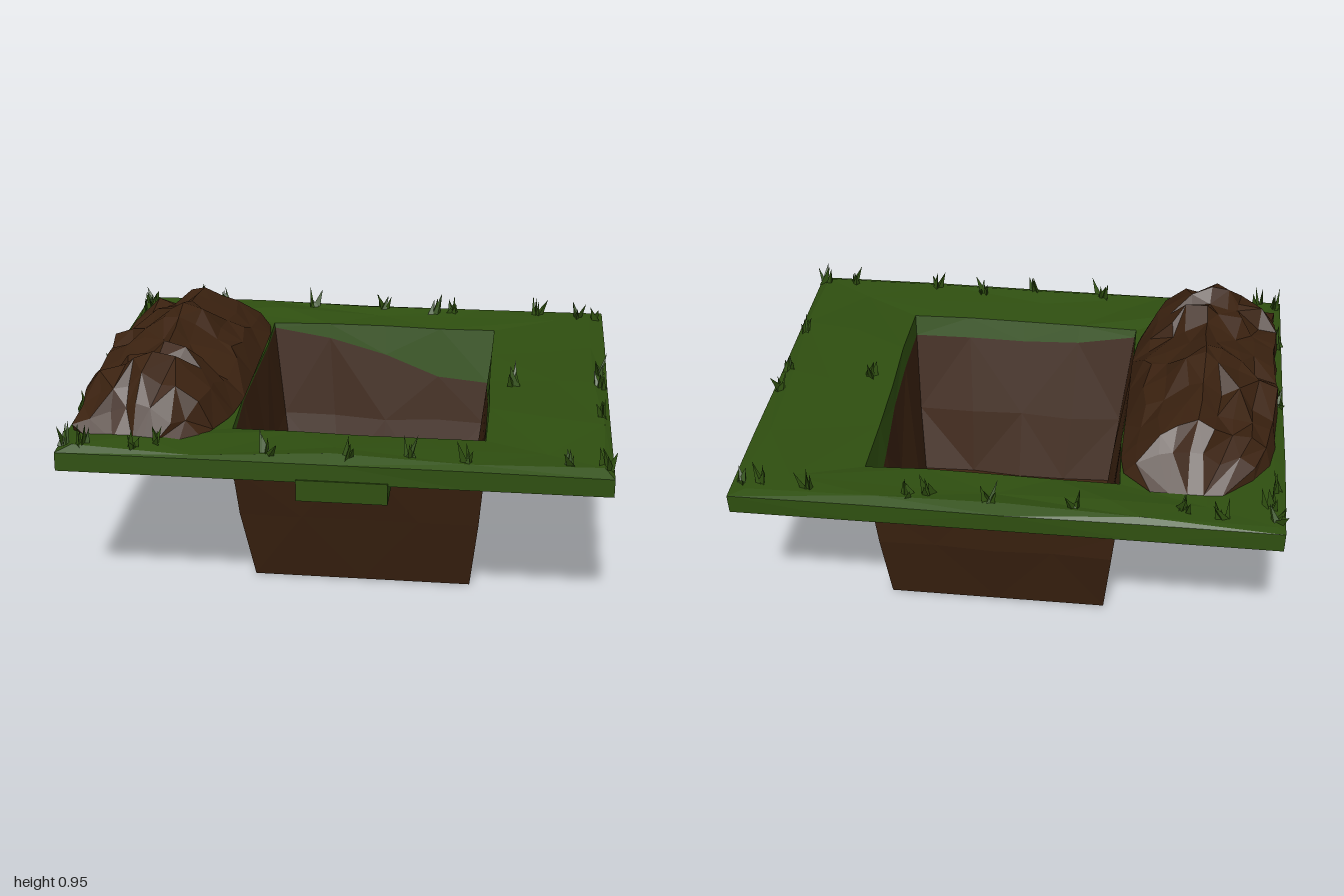
import * as THREE from 'three';

const N = 4; // points per side of each rectangular loop

function makeRandom(seed) {
  return () => {
    seed = (seed * 16807) % 2147483647;
    return seed / 2147483647;
  };
}

// Rectangle of 4 * N points, from front left, counter-clockwise seen from above
function rectLoop(x0, x1, z0, z1, y, jitter = () => 0, wobble = 0) {
  const c = [[x0, z1], [x1, z1], [x1, z0], [x0, z0]];
  const loop = [];
  for (let s = 0; s < 4; s++) {
    const a = c[s], b = c[(s + 1) % 4];
    for (let i = 0; i < N; i++) {
      const t = i / N;
      loop.push(new THREE.Vector3(
        a[0] + (b[0] - a[0]) * t + jitter() * wobble,
        y + jitter() * wobble * 0.5,
        a[1] + (b[1] - a[1]) * t + jitter() * wobble));
    }
  }
  return loop;
}

// Faceted skin over successive rows of points
function loft(rows, closed = true) {
  const p = [];
  const tri = (...v) => v.forEach((q) => p.push(q.x, q.y, q.z));
  for (let r = 0; r + 1 < rows.length; r++) {
    const a = rows[r], b = rows[r + 1], n = a.length;
    for (let i = 0; i < (closed ? n : n - 1); i++) {
      const j = (i + 1) % n;
      if ((i + r) % 2) {
        tri(a[i], a[j], b[j]);
        tri(a[i], b[j], b[i]);
      } else {
        tri(a[i], a[j], b[i]);
        tri(a[j], b[j], b[i]);
      }
    }
  }
  const g = new THREE.BufferGeometry();
  g.setAttribute('position', new THREE.Float32BufferAttribute(p, 3));
  g.computeVertexNormals();
  return g;
}

// Points part of the way down a wall, given the drop of each one
function dropLoop(top, bottom, drops) {
  return top.map((p, i) => p.clone().lerp(bottom[i], drops[i] / (p.y - bottom[i].y)));
}

const centre = (x, y, z) => Array.from({ length: 4 * N }, () => new THREE.Vector3(x, y, z));

export function createModel() {
  const root = new THREE.Group();
  const rand = makeRandom(4127);
  const jit = () => rand() * 2 - 1;
  const grass = new THREE.MeshStandardMaterial({ color: 0x2f4f10 });
  const dirt = new THREE.MeshStandardMaterial({ color: 0x3b2210 });
  grass.name = 'grass green';
  dirt.name = 'soil brown';
  grass.side = dirt.side = THREE.DoubleSide;
  const add = (name, geometry, material, parent = root) => {
    const m = new THREE.Mesh(geometry, material);
    m.name = name;
    parent.add(m);
    return m;
  };

  // Loops of the pit, outside and inside
  const outBottom = rectLoop(-0.34, 0.48, -0.43, 0.35, 0.004);
  const outMiddle = rectLoop(-0.375, 0.51, -0.505, 0.43, 0.3, jit, 0.008);
  const outTop = rectLoop(-0.4, 0.53, -0.55, 0.515, 0.62);
  const inTop = rectLoop(-0.385, 0.525, -0.55, 0.5, 0.69, jit, 0.012);
  const inMiddle = rectLoop(-0.34, 0.495, -0.48, 0.4, 0.3, jit, 0.015);
  const inBottom = rectLoop(-0.3, 0.465, -0.415, 0.325, 0.04, jit, 0.01);

  // Ragged line where turf gives way to soil
  const outEdge = dropLoop(outTop, outMiddle,
    [0.1, 0.06, 0.01, 0.06, 0.04, 0.02, 0.02, 0.06, 0.13, 0.05, 0.02, 0.06, 0.2, 0.02, 0.01, 0.06]);
  const inEdge = dropLoop(inTop, inMiddle,
    [0.03, 0.07, 0.08, 0.08, 0.08, 0.08, 0.09, 0.14, 0.22, 0.2, 0.12, 0.06, 0.02, 0.01, 0.01, 0.01]);

  // Soil: underside, outer walls, inner walls and floor
  add('pitOuterSoil', loft([centre(0.06, 0, -0.04), outBottom, outMiddle, outEdge]), dirt);
  add('pitInnerSoil', loft([inEdge, inMiddle, inBottom, centre(0, 0.025, 0.1)]), dirt);

  // Turf slab with a rolling top, running a little way down the pit walls
  add('turfSlab', loft([
    outEdge, outTop,
    rectLoop(-0.97, 0.97, -0.785, 0.77, 0.62),
    rectLoop(-0.972, 0.972, -0.785, 0.768, 0.69, jit, 0.004),
    rectLoop(-0.93, 0.93, -0.75, 0.735, 0.705, jit, 0.018),
    rectLoop(-0.7, 0.75, -0.66, 0.64, 0.70, jit, 0.025),
    inTop, inEdge,
  ]), grass);
  const flap = add('hangingTurf', new THREE.BoxGeometry(0.32, 0.08, 0.27), grass);
  flap.position.set(0.04, 0.59, 0.64);

  // Soil heap: stations of z, left edge, right edge, ridge height
  const stations = [
    [0.66, -0.88, -0.55, 0.0], [0.6, -0.94, -0.48, 0.12], [0.53, -0.95, -0.45, 0.21],
    [0.43, -0.95, -0.41, 0.25], [0.38, -0.95, -0.4, 0.2], [0.3, -0.94, -0.39, 0.24],
    [0.24, -0.95, -0.385, 0.2], [0.12, -0.94, -0.385, 0.22], [0.03, -0.95, -0.385, 0.23],
    [-0.06, -0.95, -0.385, 0.255], [-0.2, -0.94, -0.385, 0.21], [-0.3, -0.94, -0.385, 0.2],
    [-0.41, -0.92, -0.385, 0.19], [-0.5, -0.86, -0.4, 0.11], [-0.6, -0.76, -0.5, 0.0],
  ];
  const profile = [[0, 0], [0.03, 0.42], [0.15, 0.58], [0.28, 0.75], [0.4, 0.85], [0.5, 1],
    [0.62, 0.88], [0.75, 0.68], [0.88, 0.42], [1, 0]];
  add('soilHeap', loft(stations.map(([z, x0, x1, h]) => profile.map(([t, k]) => {
    const inner = k > 0 && k < 1 && h > 0 ? 1 : 0;
    return new THREE.Vector3(
      x0 + (x1 - x0) * t + inner * jit() * 0.018,
      0.695 + h * k + inner * jit() * 0.028,
      z + inner * jit() * 0.025);
  })), false), dirt);

  // Grass tufts: leaning three-sided blades
  const blade = new THREE.ConeGeometry(0.02, 1, 3).toNonIndexed();
  blade.scale(1, 1, 0.5);
  blade.translate(0, 0.5, 0);
  blade.computeVertexNormals();
  const tufts = [
    [-0.95, -0.71], [-0.76, -0.72], [-0.62, -0.7], [-0.24, -0.72], [0.06, -0.73], [0.27, -0.71],
    [0.34, -0.72], [0.7, -0.73], [0.86, -0.71], [0.95, -0.7], [-0.95, 0.71], [-0.88, 0.72],
    [-0.7, 0.72], [-0.62, 0.68], [-0.23, 0.72], [0.05, 0.73], [0.27, 0.71], [0.46, 0.72],
    [0.82, 0.71], [0.94, 0.7], [0.95, -0.11], [0.94, 0.02], [0.95, 0.3], [0.62, 0.02],
    [-0.95, -0.55], [-0.95, 0.42], [-0.955, 0.0], [-0.92, -0.64],
  ];
  tufts.forEach(([x, z]) => {
    const tuft = new THREE.Group();
    tuft.name = 'grassTuft';
    tuft.position.set(x, 0.69, z);
    for (let i = 0; i < 4; i++) {
      const b = add('grassBlade', blade, grass, tuft);
      b.scale.set(1, 0.055 + rand() * 0.045, 1);
      b.position.set(jit() * 0.015, 0, jit() * 0.015);
      b.rotation.set(jit() * 0.5, rand() * 6.28, jit() * 0.5);
    }
    root.add(tuft);
  });
  return root;
}
